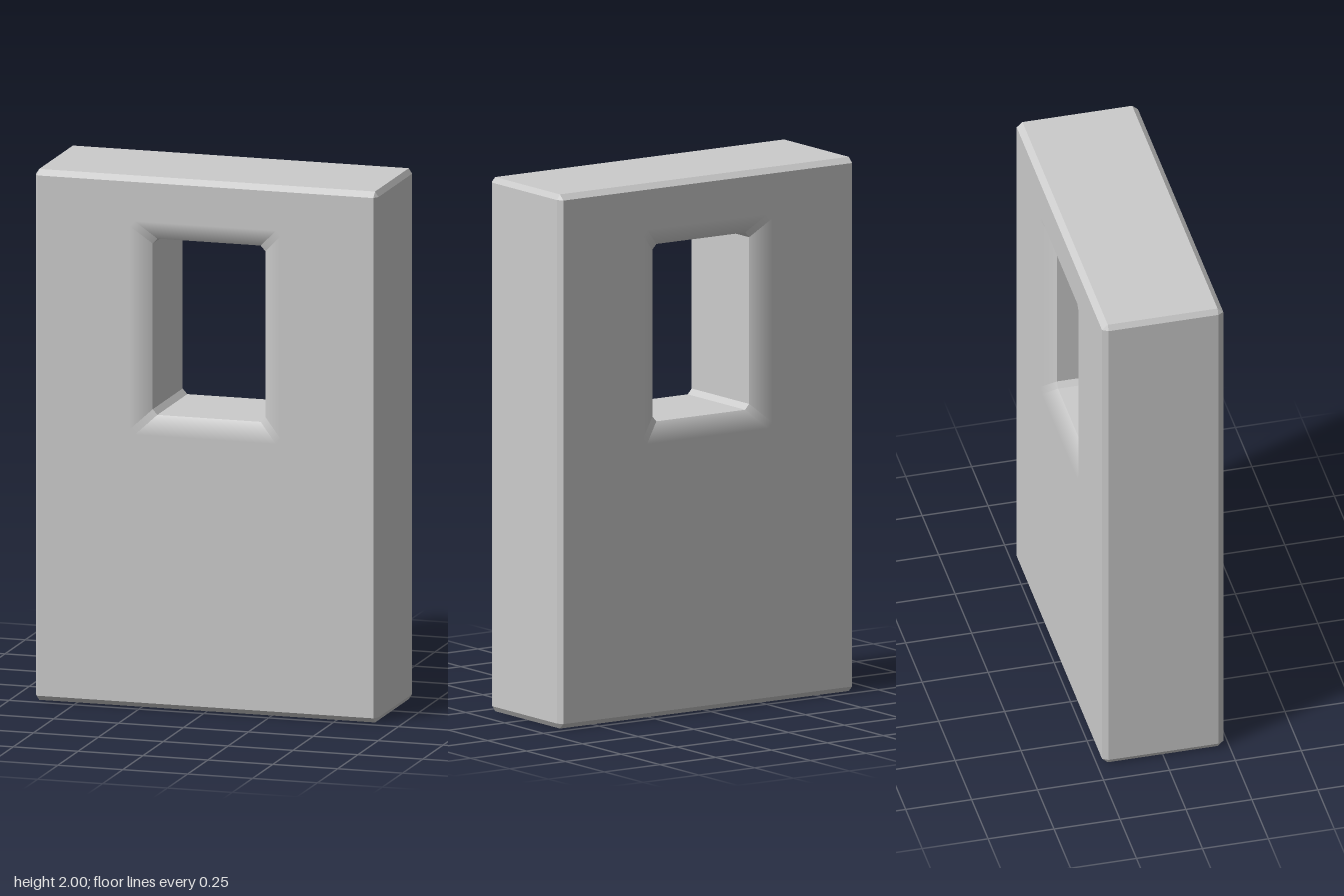
import * as THREE from 'three';

// Rectangle with cut corners, counter-clockwise seen from +z
function ring(hw, hh, cutX, cutY, cy, z) {
  const corners = [[1, -1], [1, 1], [-1, 1], [-1, -1]];
  return corners.flatMap(([sx, sy]) => {
    const onSide = new THREE.Vector3(sx * hw, cy + sy * (hh - cutY), z);
    const onEnd = new THREE.Vector3(sx * (hw - cutX), cy + sy * hh, z);
    return sx * sy < 0 ? [onEnd, onSide] : [onSide, onEnd];
  });
}

export function createModel() {
  const halfDepth = 0.23, rimDepth = 0.208, wallDepth = 0.185;

  // Sections from the window edge outward to the slab's edge; the back mirrors the front
  const half = (s) => [
    ring(0.217, 0.332, 0.018, 0.02, 1.43, s * wallDepth),
    ring(0.29, 0.402, 0.018, 0.02, 1.43, s * halfDepth),
    ring(0.647, 0.98, 0, 0, 1, s * halfDepth),
    ring(0.66, 1, 0.013, 0.02, 1, s * rimDepth),
  ];
  const loops = [...half(1), ...half(-1).reverse()];

  // Join neighbouring sections, closing through the window
  const points = [], soft = [];
  const addTriangle = (...verts) => {
    const [a, b, c] = verts.map((v) => v.p);
    const area = b.clone().sub(a).cross(c.clone().sub(a)).length();
    if (area < 1e-8) return;
    for (const v of verts) {
      points.push(v.p.x, v.p.y, v.p.z);
      soft.push(v.nz);
    }
  };
  loops.forEach((a, i) => {
    const b = loops[(i + 1) % loops.length];
    // The splay around the window blends softly into the flat faces
    const nzA = i === 6 ? -1 : 0, nzB = i === 0 ? 1 : 0;
    for (let k = 0; k < 8; k++) {
      const n = (k + 1) % 8;
      const a0 = { p: a[k], nz: nzA }, a1 = { p: a[n], nz: nzA };
      const b0 = { p: b[k], nz: nzB }, b1 = { p: b[n], nz: nzB };
      addTriangle(a0, b0, b1);
      addTriangle(a0, b1, a1);
    }
  });

  const geometry = new THREE.BufferGeometry();
  geometry.setAttribute('position', new THREE.Float32BufferAttribute(points, 3));
  geometry.computeVertexNormals();
  soft.forEach((nz, i) => {
    if (nz) geometry.attributes.normal.setXYZ(i, 0, 0, nz);
  });

  const wall = new THREE.Mesh(geometry, new THREE.MeshStandardMaterial({ color: 0xcccccc }));
  wall.name = 'wallWithWindow';
  const group = new THREE.Group();
  group.name = 'windowWall';
  group.add(wall);
  return group;
}
